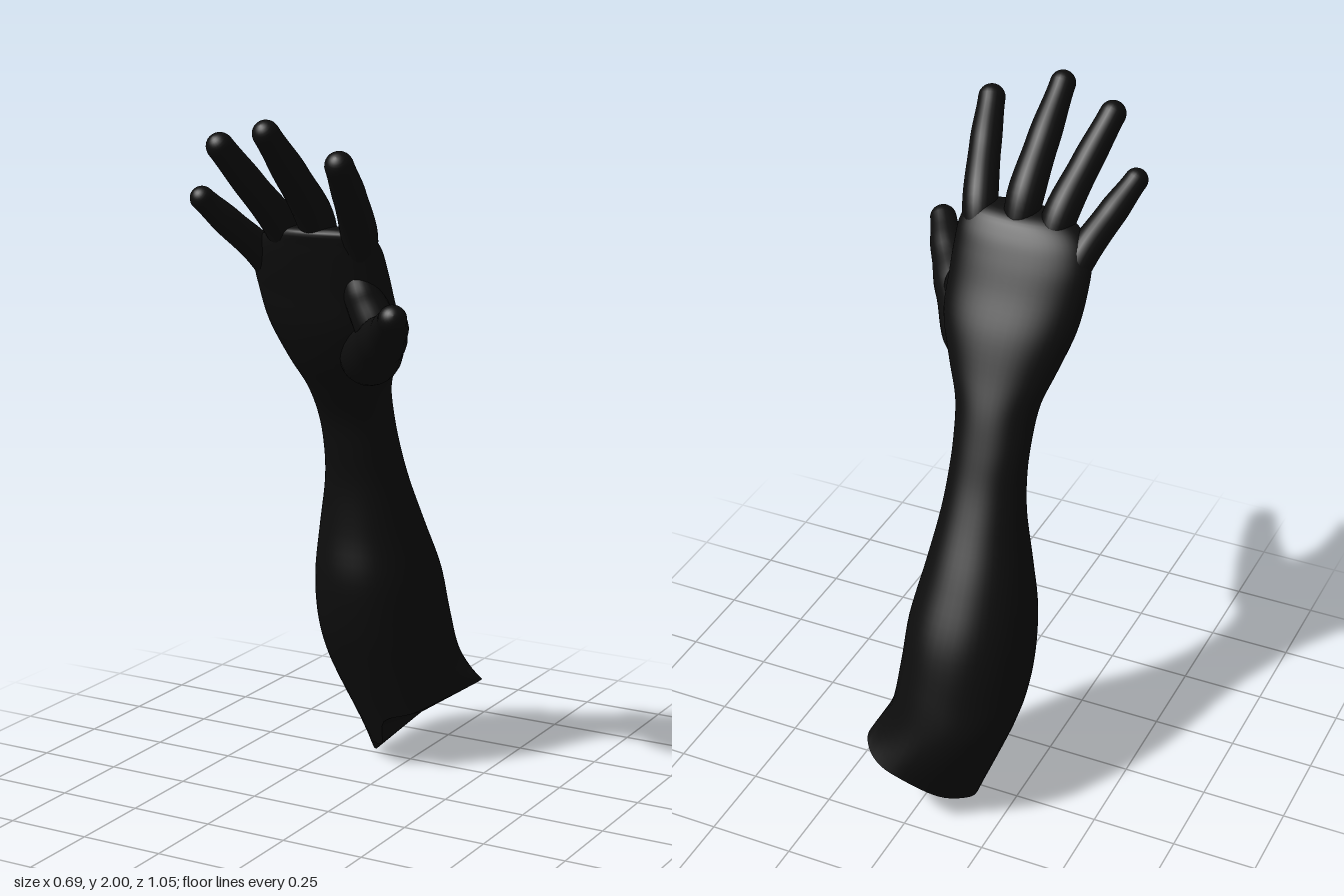
import * as THREE from 'three';

const SIDES = 48;
const V = (x, y, z) => new THREE.Vector3(x, y, z);

// Skin a list of closed rings (arrays of Vector3), from first to last
function skin(rings) {
  const n = rings[0].length;
  const index = [];
  for (let i = 0; i < rings.length - 1; i++) {
    for (let j = 0; j < n; j++) {
      const k = (j + 1) % n;
      const a = i * n + j, b = i * n + k, c = a + n, d = b + n;
      index.push(a, b, c, b, d, c);
    }
  }
  const geo = new THREE.BufferGeometry().setFromPoints(rings.flat());
  geo.setIndex(index);
  geo.computeVertexNormals();
  return geo;
}

// Horizontal cross-section: a slightly squared oval
function slice([y, x0, x1, z0, z1]) {
  const pw = (v) => Math.sign(v) * Math.abs(v) ** 0.92;
  return Array.from({ length: SIDES }, (_, j) => {
    const t = (j / SIDES) * Math.PI * 2;
    return V((x0 + x1) / 2 + ((x1 - x0) / 2) * pw(Math.cos(t)), y,
      (z0 + z1) / 2 - ((z1 - z0) / 2) * pw(Math.sin(t)));
  });
}

// Tapered finger through [x, y, z, radius] points, with a round tip
function finger(stations) {
  const curve = new THREE.CatmullRomCurve3(stations.map(([x, y, z]) => V(x, y, z)));
  const steps = 24, sides = 24, rings = [];
  const { tangents, normals, binormals } = curve.computeFrenetFrames(steps);
  const ring = (p, i, r) => Array.from({ length: sides }, (_, j) => {
    const t = (j / sides) * Math.PI * 2;
    return p.clone().addScaledVector(normals[i], r * Math.cos(t)).addScaledVector(binormals[i], r * Math.sin(t));
  });
  const last = stations.length - 1;
  for (let i = 0; i <= steps; i++) {
    const u = curve.getUtoTmapping(i / steps) * last;
    const k = Math.min(Math.floor(u), last - 1);
    const r = THREE.MathUtils.lerp(stations[k][3], stations[k + 1][3], THREE.MathUtils.smoothstep(u - k, 0, 1));
    rings.push(ring(curve.getPointAt(i / steps), i, r));
  }
  const r = stations[last][3];
  for (let s = 1; s <= 8; s++) {
    const a = (s / 8) * Math.PI / 2;
    const p = curve.getPointAt(1).addScaledVector(tangents[steps], r * Math.sin(a));
    rings.push(ring(p, steps, r * Math.cos(a)));
  }
  return skin(rings);
}

export function createModel() {
  const model = new THREE.Group();
  const black = new THREE.MeshStandardMaterial({ color: 0x0d0d0d });
  black.name = 'black skin';
  const add = (name, geo) => {
    const mesh = new THREE.Mesh(geo, black);
    mesh.name = name;
    model.add(mesh);
  };

  // Ragged lower rim of the forearm
  const rimCurve = new THREE.CatmullRomCurve3([
    V(0.155, 0.23, -0.41), V(0.125, 0.215, -0.47), V(0.07, 0.2, -0.508), V(0, 0.185, -0.52),
    V(-0.085, 0.1, -0.455), V(-0.125, 0.04, -0.37), V(-0.135, 0, -0.28), V(-0.115, 0.045, -0.22),
    V(-0.055, 0.065, -0.17), V(-0.03, 0.15, -0.135), V(0.06, 0.185, -0.15), V(0.105, 0.205, -0.26),
  ], true);
  const rim = Array.from({ length: SIDES }, (_, j) => rimCurve.getPoint(j / SIDES));

  // Forearm, wrist and palm: y, x range, z range
  const rows = [
    [0.32, -0.255, 0.115, -0.495, -0.065],
    [0.45, -0.27, 0.1, -0.46, -0.02],
    [0.6, -0.265, 0.09, -0.41, 0],
    [0.75, -0.24, 0.062, -0.33, -0.012],
    [0.9, -0.205, 0.04, -0.243, -0.01],
    [1.0, -0.19, 0.035, -0.19, 0.01],
    [1.1, -0.187, 0.037, -0.145, 0.04],
    [1.2, -0.19, 0.055, -0.1, 0.105],
    [1.29, -0.218, 0.1, -0.055, 0.17],
    [1.4, -0.252, 0.145, 0, 0.225],
    [1.5, -0.264, 0.15, 0.06, 0.25],
    [1.58, -0.262, 0.15, 0.105, 0.27],
    [1.64, -0.235, 0.145, 0.143, 0.283],
    [1.68, -0.175, 0.12, 0.18, 0.288],
    [1.695, -0.04, -0.03, 0.235, 0.25],
  ];
  const stations = [rim, ...rows.map(slice)];
  const columns = rim.map((_, j) => new THREE.CatmullRomCurve3(stations.map((s) => s[j])));
  const STEPS = 75;
  add('forearmAndPalm', skin(Array.from({ length: STEPS + 1 }, (_, i) =>
    columns.map((c) => c.getPoint(i / STEPS)))));

  // Closed lower end
  add('forearmEnd', skin([rim.map(() => V(0, 0.13, -0.32)), rim]));

  // Fingers, thumb and the web of flesh between thumb and palm
  const fingers = {
    littleFinger: [[-0.2, 1.5, 0.15, 0.04], [-0.228, 1.6, 0.21, 0.046], [-0.272, 1.69, 0.305, 0.042], [-0.312, 1.767, 0.384, 0.034]],
    ringFinger: [[-0.13, 1.58, 0.19, 0.04], [-0.145, 1.69, 0.247, 0.05], [-0.175, 1.805, 0.35, 0.044], [-0.21, 1.92, 0.45, 0.038]],
    middleFinger: [[-0.03, 1.59, 0.19, 0.04], [-0.034, 1.72, 0.253, 0.053], [-0.037, 1.84, 0.363, 0.047], [-0.042, 1.965, 0.488, 0.037]],
    indexFinger: [[0.075, 1.55, 0.18, 0.04], [0.1, 1.68, 0.243, 0.051], [0.138, 1.795, 0.36, 0.046], [0.167, 1.89, 0.466, 0.039]],
    thumb: [[-0.04, 1.25, 0, 0.04], [0.07, 1.325, 0.125, 0.087], [0.168, 1.39, 0.24, 0.069], [0.244, 1.442, 0.335, 0.052], [0.306, 1.492, 0.43, 0.039]],
    thumbWeb: [[0.06, 1.58, 0.2, 0.04], [0.09, 1.5, 0.2, 0.055], [0.125, 1.43, 0.2, 0.06], [0.15, 1.37, 0.2, 0.05]],
  };
  for (const [name, points] of Object.entries(fingers)) add(name, finger(points));
  return model;
}
